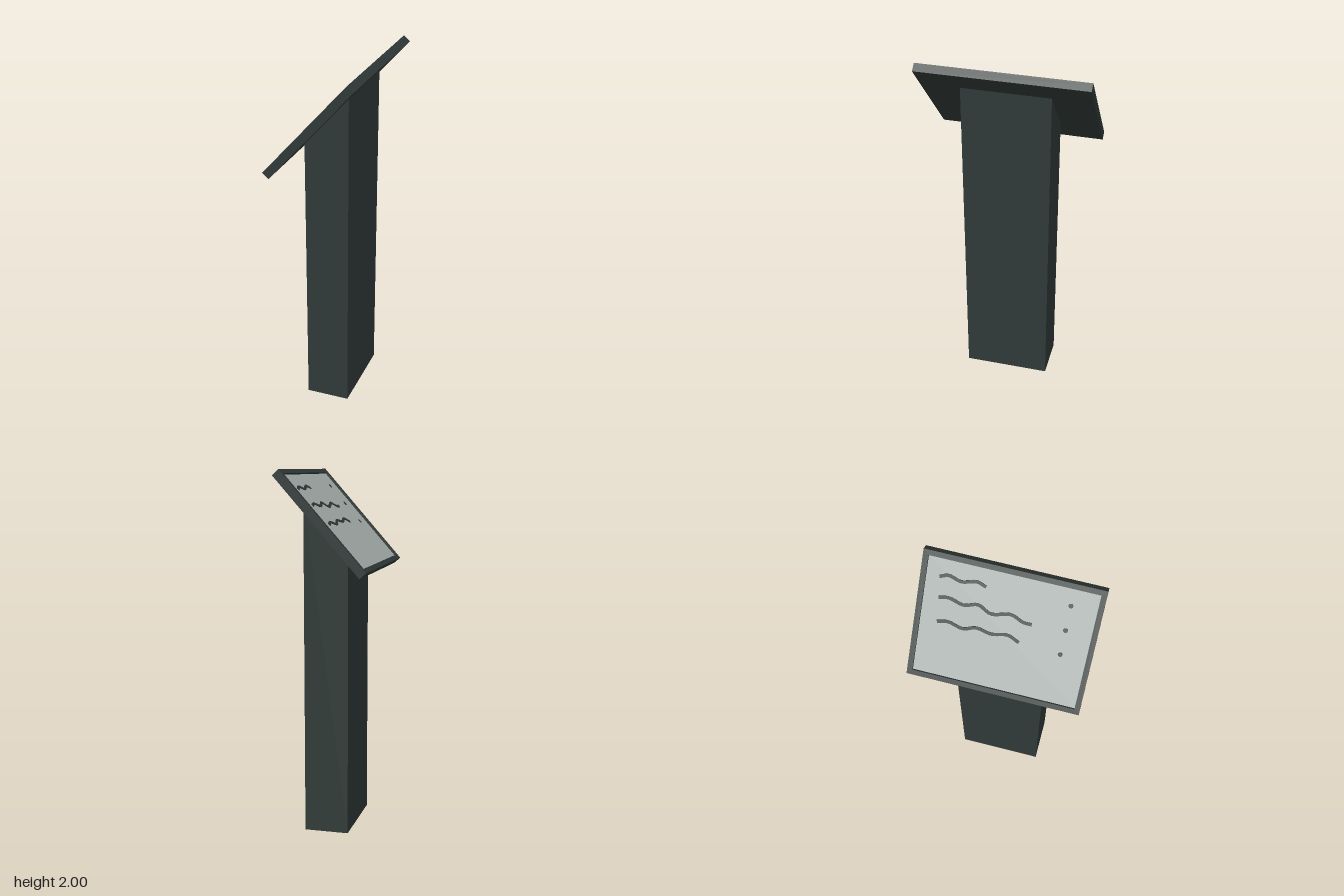
import * as THREE from 'three';

const SLOPE = Math.atan2(0.52, 0.46);
const LEN = 0.694, THICK = 0.046, WIDTH = 0.91, RIM = 0.028, DEPTH = 0.013;
const CX = 0, CY = 1.725;
const FLOOR = THICK / 2 - DEPTH; // height of the recessed face in panel space

const dark = new THREE.MeshStandardMaterial({ color: 0x2f3937 });
dark.name = 'dark metal';
const pale = new THREE.MeshStandardMaterial({ color: 0xa3aba8 });
pale.name = 'pale grey face';

function rectangle(target, w, h) {
  target.moveTo(-w / 2, -h / 2);
  target.lineTo(w / 2, -h / 2);
  target.lineTo(w / 2, h / 2);
  target.lineTo(-w / 2, h / 2);
  target.closePath();
  return target;
}

function addMesh(parent, name, geometry, material) {
  const mesh = new THREE.Mesh(geometry, material);
  mesh.name = name;
  parent.add(mesh);
  return mesh;
}

// Extrudes a shape drawn as (along slope, -z) upward from a given panel height
function layFlat(shape, depth, y) {
  return new THREE.ExtrudeGeometry(shape, { depth, bevelEnabled: false })
    .rotateX(-Math.PI / 2).translate(0, y, 0);
}

// Converts a plan x position to a distance along the sloping face
const alongSlope = (x) => (x - CX + Math.sin(SLOPE) * FLOOR) / Math.cos(SLOPE);

// Wavy ribbon through [x, z] plan points
function strokeShape(points, width) {
  const curve = new THREE.CatmullRomCurve3(
    points.map(([x, z]) => new THREE.Vector3(alongSlope(x), -z, 0)));
  const left = [], right = [], n = 40;
  for (let i = 0; i <= n; i++) {
    const p = curve.getPoint(i / n), t = curve.getTangent(i / n);
    const ox = -t.y * width / 2, oy = t.x * width / 2;
    left.push(new THREE.Vector2(p.x + ox, p.y + oy));
    right.unshift(new THREE.Vector2(p.x - ox, p.y - oy));
  }
  return new THREE.Shape([...left, ...right]);
}

export function createModel() {
  const model = new THREE.Group();
  model.name = 'lectern sign';

  // Post with its top cut to the slope of the panel
  const side = new THREE.Shape([
    new THREE.Vector2(-0.1, 0), new THREE.Vector2(0.145, 0),
    new THREE.Vector2(0.145, 1.858), new THREE.Vector2(-0.1, 1.581),
  ]);
  addMesh(model, 'post', new THREE.ExtrudeGeometry(side, { depth: 0.48, bevelEnabled: false })
    .translate(0, 0, -0.24), dark);

  // Sloping panel: backing, raised rim and recessed face
  const panel = new THREE.Group();
  panel.name = 'panel';
  panel.position.set(CX, CY, 0);
  panel.rotation.z = SLOPE;
  model.add(panel);

  const backing = THICK - DEPTH;
  addMesh(panel, 'backing', new THREE.BoxGeometry(LEN, backing, WIDTH), dark)
    .position.y = -DEPTH / 2;
  const rim = rectangle(new THREE.Shape(), LEN, WIDTH);
  rim.holes.push(rectangle(new THREE.Path(), LEN - 2 * RIM, WIDTH - 2 * RIM));
  addMesh(panel, 'rim', layFlat(rim, DEPTH, FLOOR), dark);
  addMesh(panel, 'face', layFlat(
    rectangle(new THREE.Shape(), LEN - 2 * RIM, WIDTH - 2 * RIM), 0.002, FLOOR), pale);

  // Wavy lines standing in for writing
  const waves = [
    [[-0.022, -0.34], [-0.014, -0.285], [-0.026, -0.205], [-0.012, -0.14],
      [-0.021, -0.06], [-0.011, 0.02], [-0.028, 0.083]],
    [[0.064, -0.35], [0.071, -0.3], [0.058, -0.22], [0.071, -0.15],
      [0.05, -0.08], [0.064, 0.02], [0.047, 0.085], [0.046, 0.128]],
    [[0.138, -0.36], [0.148, -0.315], [0.137, -0.25], [0.149, -0.175], [0.139, -0.125]],
  ];
  waves.forEach((points, i) => addMesh(panel, `wavyLine${i + 1}`,
    layFlat(strokeShape(points, 0.017), 0.003, FLOOR + 0.002), dark));

  // Dots at the end of each line
  [-0.035, 0.054, 0.142].forEach((x, i) => {
    const dot = new THREE.CylinderGeometry(0.012, 0.012, 0.003, 12);
    addMesh(panel, `dot${i + 1}`, dot, dark)
      .position.set(alongSlope(x), FLOOR + 0.0035, 0.296);
  });

  return model;
}
